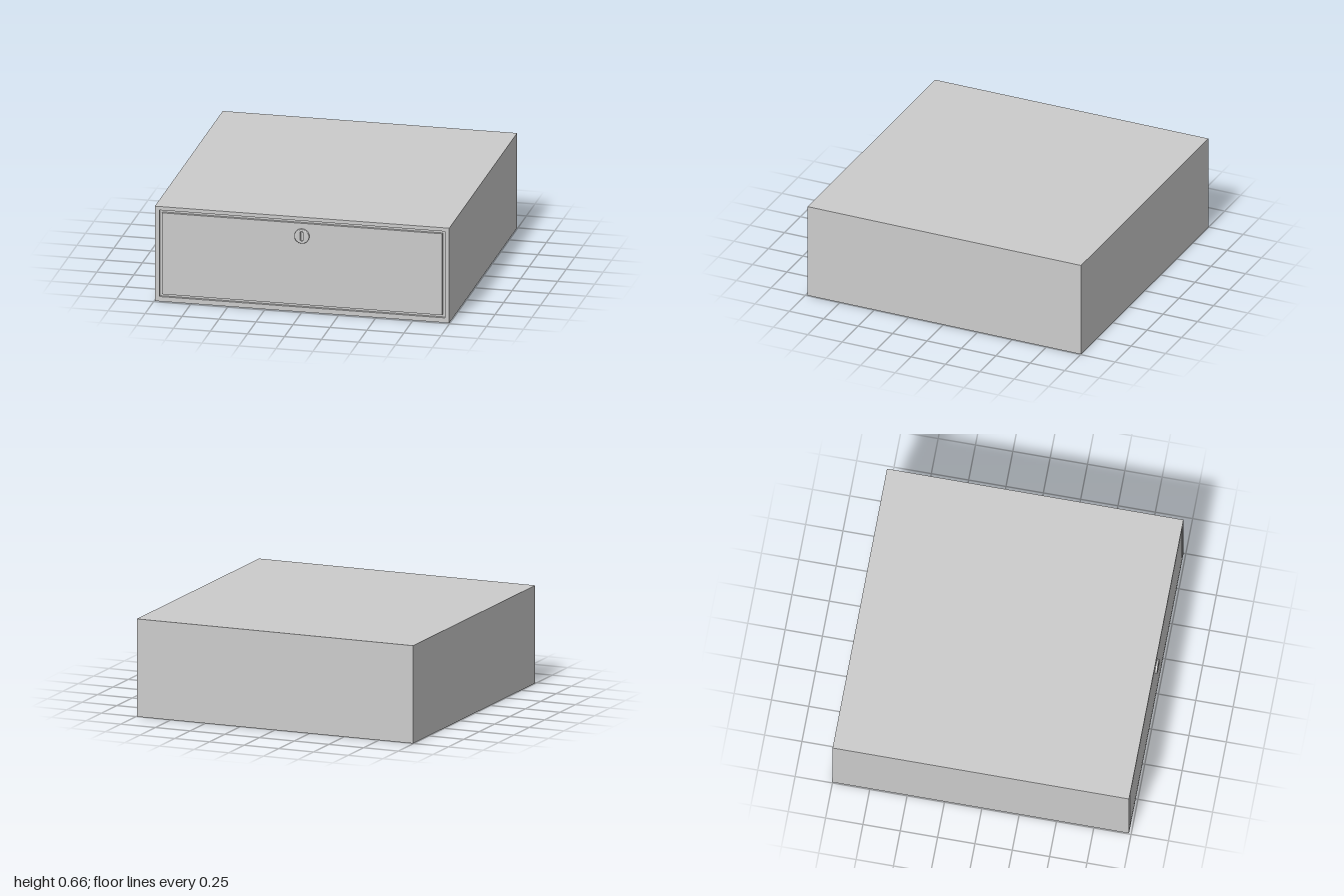
import * as THREE from 'three';
import { toCreasedNormals } from 'three/addons/utils/BufferGeometryUtils.js';

const W = 1.99, H = 0.66;            // cabinet width and height
const BACK = -1, FRONT = 0.985;      // cabinet depth range
const GROOVE = 0.02;                 // depth of the gap around the drawer
const X1 = 0.965, Y0 = 0.033, Y1 = 0.635; // drawer opening
const GAP = 0.018;

export function createModel() {
  const group = new THREE.Group();
  const material = new THREE.MeshStandardMaterial({ color: 0xcccccc });
  const add = (name, geometry, x, y, z) => {
    const mesh = new THREE.Mesh(geometry, material);
    mesh.name = name;
    mesh.position.set(x, y, z);
    group.add(mesh);
  };
  const rect = (PathType, x, y0, y1) => new PathType([
    new THREE.Vector2(-x, y0), new THREE.Vector2(x, y0),
    new THREE.Vector2(x, y1), new THREE.Vector2(-x, y1),
  ]);

  // Closed cabinet body, ending at the floor of the groove
  const depth = FRONT - GROOVE - BACK;
  add('cabinetBody', new THREE.BoxGeometry(W, H, depth), 0, H / 2, BACK + depth / 2);

  // Front rim around the drawer opening
  const rim = rect(THREE.Shape, W / 2, 0, H);
  rim.holes.push(rect(THREE.Path, X1, Y0, Y1));
  add('frontFrame', new THREE.ExtrudeGeometry(rim, { depth: GROOVE, bevelEnabled: false }),
    0, 0, FRONT - GROOVE);

  // Drawer front, flush with the rim
  add('drawerFront', new THREE.BoxGeometry(2 * (X1 - GAP), Y1 - Y0 - 2 * GAP, GROOVE),
    0, (Y0 + Y1) / 2, FRONT - GROOVE / 2);

  // Round lock with a softened edge
  const R = 0.05, SOFT = 0.004, lockDepth = 0.015;
  const face = new THREE.Shape().absarc(0, 0, R - SOFT, 0, Math.PI * 2);
  // Upright keyhole slot with round ends
  const sr = 0.008 + SOFT, sh = 0.026;
  const slot = new THREE.Path();
  slot.absarc(0, sh, sr, 0, Math.PI, false);
  slot.absarc(0, -sh, sr, Math.PI, Math.PI * 2, false);
  slot.closePath();
  face.holes.push(slot);
  const lock = new THREE.ExtrudeGeometry(face, {
    depth: lockDepth - SOFT, bevelThickness: SOFT, bevelSize: SOFT,
    bevelSegments: 3, curveSegments: 32,
  });
  add('lock', toCreasedNormals(lock, 0.6), 0, 0.53, FRONT);

  return group;
}
